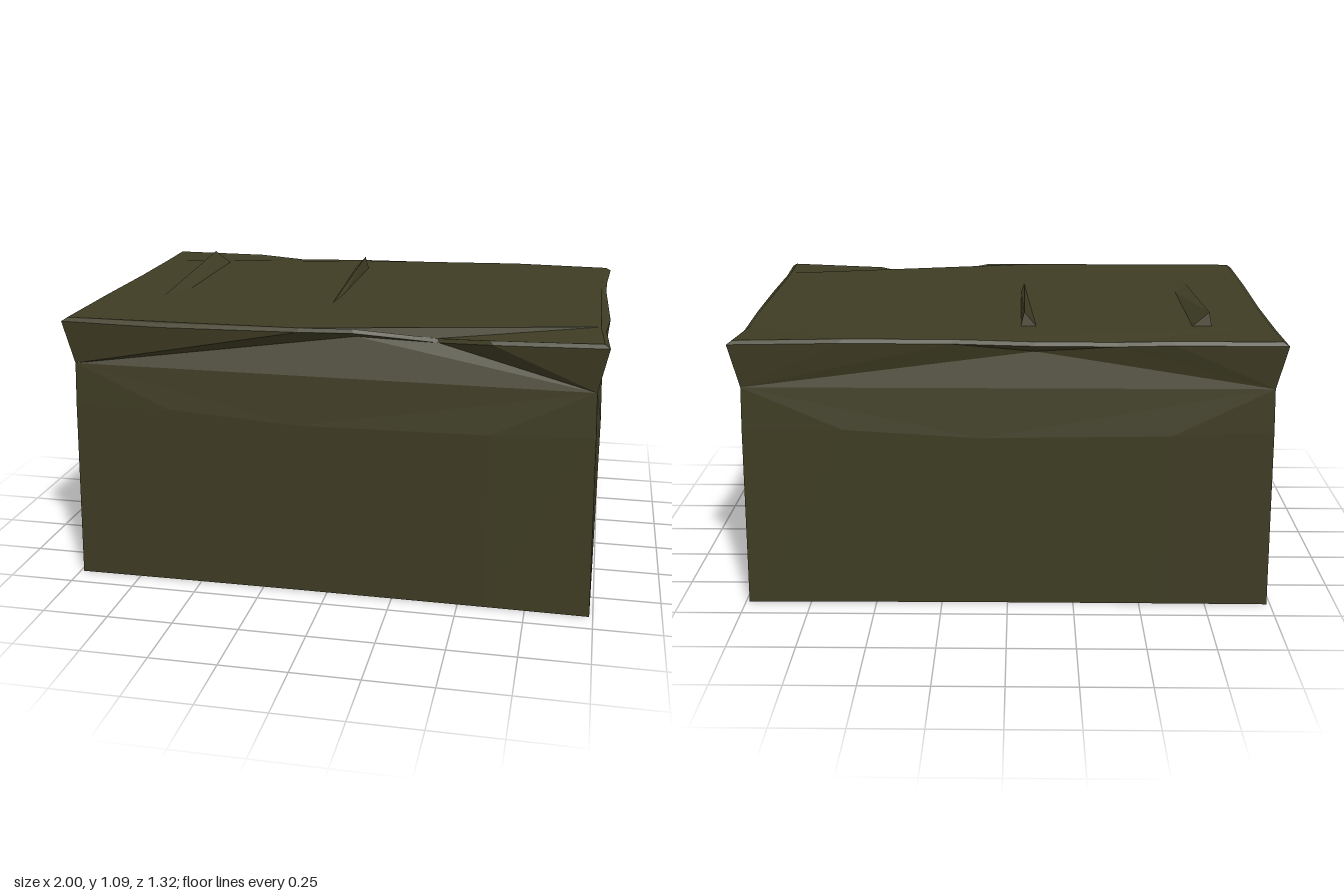
import * as THREE from 'three';

const canvas = new THREE.MeshStandardMaterial({ color: 0x3e3c23 });
canvas.name = 'olive canvas';

// Flat-faceted mesh from a list of corner triples
function facets(name, tris) {
  const g = new THREE.BufferGeometry();
  g.setAttribute('position', new THREE.Float32BufferAttribute(tris.flat(2), 3));
  g.computeVertexNormals();
  const mesh = new THREE.Mesh(g, canvas);
  mesh.name = name;
  return mesh;
}

// Fill a closed loop, counter-clockwise seen from above
function cap(loop, up = true) {
  const flat = loop.map(([x, , z]) => new THREE.Vector2(x, -z));
  return THREE.ShapeUtils.triangulateShape(flat, []).map((t) => {
    const tri = t.map((i) => loop[i]);
    return up ? tri : tri.reverse();
  });
}

// Panel between a lower edge a-b and an upper row; rows run left to right seen from outside.
// An optional fold point tucks the cloth under row points k to m.
function panel(a, b, row, k, m = k, fold = null) {
  const p = fold || row[k];
  const tris = [[a, b, p]];
  if (fold) tris.push([a, p, row[k]], [b, row[m], p]);
  for (let i = 0; i < row.length - 1; i++) {
    tris.push([i < k ? a : i < m ? p : b, row[i + 1], row[i]]);
  }
  return tris;
}

// Wall: bottom row to bulging middle row, then gathered to the neck a-b
function wall(bottom, middle, a, b, k) {
  const tris = [[b, a, middle[k]]];
  for (let i = 0; i < bottom.length - 1; i++) {
    tris.push([bottom[i], bottom[i + 1], middle[i + 1]], [bottom[i], middle[i + 1], middle[i]]);
    tris.push([i < k ? a : b, middle[i], middle[i + 1]]);
  }
  return tris;
}

export function createModel() {
  const group = new THREE.Group();
  group.name = 'coveredCrate';
  const names = ['front', 'right', 'back', 'left'];

  // Corner posts, in order around the box
  const signs = [[-1, 1], [1, 1], [1, -1], [-1, -1]];
  const corners = (x, y, z) => signs.map(([sx, sz]) => [sx * x, y, sz * z]);
  const foot = corners(0.987, 0, 0.66);
  const waist = corners(0.971, 0.69, 0.645);
  const neck = corners(0.965, 0.855, 0.64);
  const rim = corners(1, 1.02, 0.66);

  // In-between points of each side
  const footMid = [
    [[-0.6, 0, 0.657], [-0.1, 0, 0.655], [0.6, 0, 0.657]],
    [[0.962, 0, 0.41], [0.976, 0, -0.22], [0.964, 0, -0.44]],
    [[0.6, 0, -0.657], [0.1, 0, -0.655], [-0.6, 0, -0.657]],
    [[-0.962, 0, -0.42], [-0.976, 0, 0.2], [-0.964, 0, 0.42]],
  ];
  const waistMid = [
    [[-0.6, 0.7, 0.66], [-0.1, 0.67, 0.66], [0.6, 0.68, 0.66]],
    [[0.985, 0.69, 0.44], [0.983, 0.78, -0.2], [0.985, 0.83, -0.46]],
    [[0.6, 0.7, -0.66], [0.1, 0.67, -0.66], [-0.6, 0.68, -0.66]],
    [[-0.985, 0.69, -0.44], [-0.982, 0.7, 0.1], [-0.985, 0.69, 0.44]],
  ];
  const rimMid = [
    [[-0.62, 1.015, 0.66], [-0.1, 1.022, 0.656], [0.1, 1.025, 0.645], [0.4, 0.985, 0.565], [0.6, 1.008, 0.645]],
    [[0.985, 1.025, 0.44], [1, 1.01, 0.21], [0.983, 1.024, -0.2], [0.985, 1.01, -0.43]],
    [[0.6, 1.025, -0.655], [0.2, 1.02, -0.64], [-0.1, 1.015, -0.65], [-0.4, 1.01, -0.635], [-0.6, 1.02, -0.655]],
    [[-0.992, 1.022, -0.44], [-0.99, 1.022, -0.1], [-1, 1.02, 0.3]],
  ];
  const folds = [
    [2, 4, [0.1, 1, 0.59]],
    [3],
    [2, 4, [-0.1, 0.985, -0.61]],
    [2],
  ];

  // Side walls and the overhanging skirt of the cover
  names.forEach((side, i) => {
    const j = (i + 1) % 4;
    const row = (ring, mid) => [ring[i], ...mid[i], ring[j]];
    group.add(facets(side + 'Wall', wall(row(foot, footMid), row(waist, waistMid), neck[i], neck[j], 2)));
    group.add(facets(side + 'CoverSkirt', panel(neck[i], neck[j], row(rim, rimMid), ...folds[i])));
  });

  // Base
  const footLoop = foot.flatMap((c, i) => [c, ...footMid[i]]);
  group.add(facets('base', cap(footLoop, false)));

  // Cover top with a narrow chamfer round its rim
  const outer = rim.flatMap((c, i) => [c, ...rimMid[i]]);
  const inner = outer.map(([x, y, z]) => [x * 0.98, y + 0.013, z * 0.98]);
  const top = cap(inner);
  outer.forEach((p, i) => {
    const n = (i + 1) % outer.length;
    top.push([p, outer[n], inner[n]], [p, inner[n], inner[i]]);
  });
  group.add(facets('coverTop', top));

  // Tapering creases poking up through the cover: outer edges x0, x1 and peak xp
  [[-0.76, -0.745, -0.645], [-0.13, -0.06, -0.04]].forEach(([x0, xp, x1], i) => {
    const l = [x0, 1.005, -0.445], r = [x1, 1.005, -0.445], p = [xp, 1.085, -0.43];
    const fl = [x0, 1.005, 0.4], fr = [x1, 1.005, 0.42], fp = [xp, 1.024, 0.4];
    group.add(facets('coverCrease' + (i + 1), [
      [r, l, p], [fl, fr, fp],
      [l, fl, fp], [l, fp, p],
      [fr, r, p], [fr, p, fp],
    ]));
  });

  return group;
}
